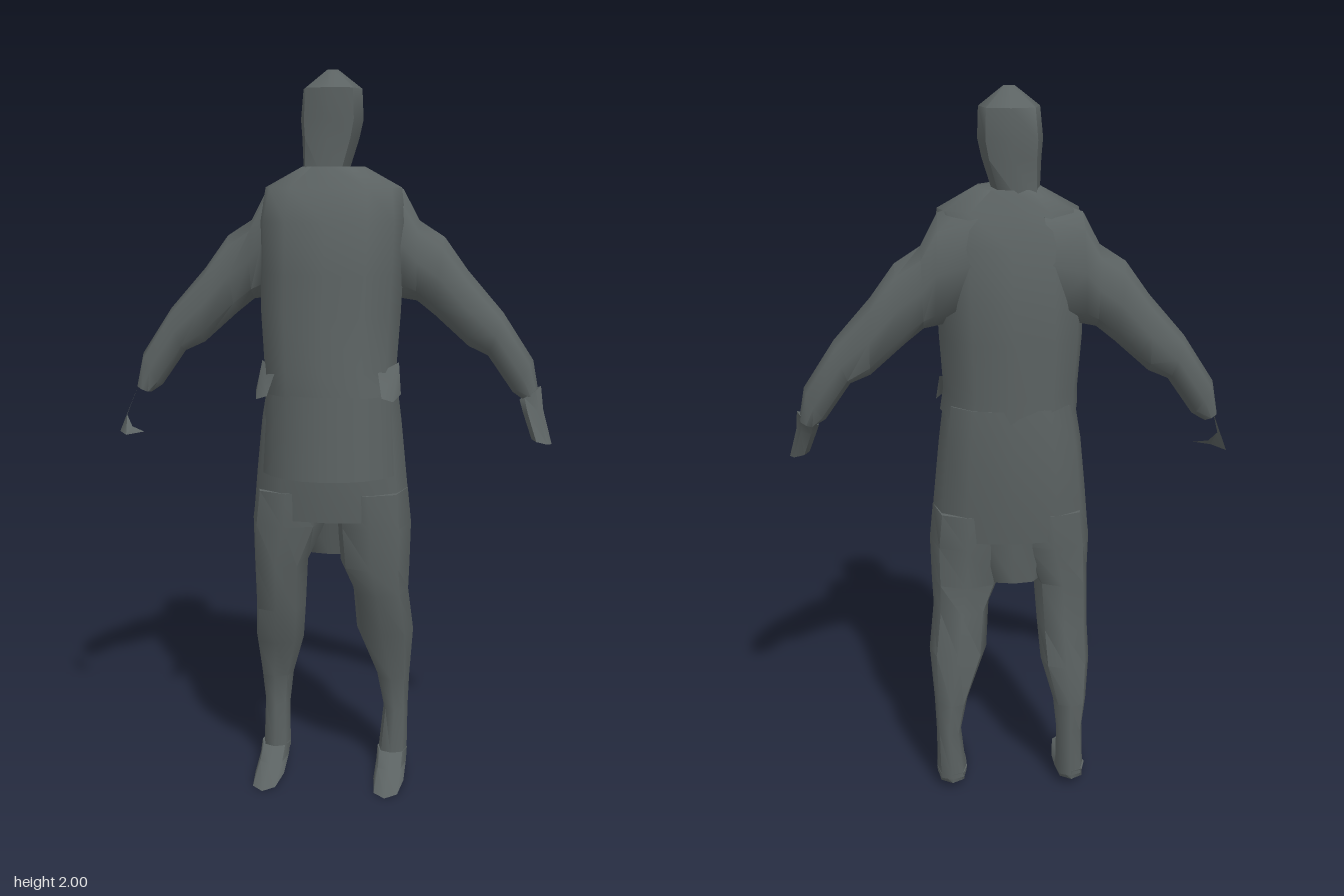
import * as THREE from 'three';
import { toCreasedNormals } from 'three/addons/utils/BufferGeometryUtils.js';

const cloth = new THREE.MeshStandardMaterial({ color: 0x5c6363, side: THREE.DoubleSide });
cloth.name = 'dark grey';

// Loft through rings. Each section: [ax, ay, bx, by, zFront, zBack],
// where a and b are the two ends of the ring in the xy plane.
function loft(sections, sides = 8, power = 0.9) {
  const pos = [], index = [];
  const soft = (t) => Math.sign(t) * Math.abs(t) ** power;
  const n = sections.length;
  for (const [ax, ay, bx, by, zf, zb] of sections) {
    for (let j = 0; j < sides; j++) {
      const t = (j / sides) * Math.PI * 2;
      const c = soft(Math.cos(t)), s = soft(Math.sin(t));
      pos.push((ax + bx) / 2 + c * (ax - bx) / 2, (ay + by) / 2 + c * (ay - by) / 2,
        (zf + zb) / 2 + s * (zf - zb) / 2);
    }
  }
  for (let i = 0; i < n - 1; i++) {
    for (let j = 0; j < sides; j++) {
      const k = (j + 1) % sides, a = i * sides, b = a + sides;
      index.push(a + j, a + k, b + j, a + k, b + k, b + j);
    }
  }
  // end caps
  const last = (n - 1) * sides;
  for (let j = 1; j < sides - 1; j++) {
    index.push(0, j + 1, j, last, last + j, last + j + 1);
  }
  return finish(pos, index);
}

function finish(pos, index) {
  const g = new THREE.BufferGeometry();
  g.setAttribute('position', new THREE.Float32BufferAttribute(pos, 3));
  g.setIndex(index);
  return toCreasedNormals(g, 0.95);
}

// Level ring: [y, xRight, xLeft, zFront, zBack]
const level = ([y, x0, x1, zf, zb]) => [x1, y, x0, y, zf, zb];

export function createModel() {
  const group = new THREE.Group();
  const add = (name, geometry) => {
    const mesh = new THREE.Mesh(geometry, cloth);
    mesh.name = name;
    group.add(mesh);
  };

  add('head', loft([
    [2.0, -0.015, 0.015, -0.01, -0.03],
    [1.95, -0.08, 0.08, 0.068, -0.115],
    [1.87, -0.088, 0.083, 0.062, -0.118],
    [1.82, -0.084, 0.072, 0.058, -0.11],
    [1.72, -0.08, 0.04, 0.06, -0.11],
  ].map(level), 8, 0.7));

  add('jacket', loft([
    [1.745, -0.085, 0.09, 0.07, -0.11],
    [1.69, -0.185, 0.19, 0.1, -0.132],
    [1.6, -0.2, 0.2, 0.14, -0.162],
    [1.46, -0.2, 0.195, 0.148, -0.178],
    [1.35, -0.2, 0.19, 0.155, -0.176],
    [1.2, -0.19, 0.18, 0.165, -0.17],
    [1.135, -0.19, 0.19, 0.168, -0.168],
  ].map(level), 12, 0.85));

  add('hips', loft([
    [1.17, -0.18, 0.18, 0.14, -0.168],
    [1.05, -0.2, 0.195, 0.14, -0.168],
    [0.9, -0.215, 0.21, 0.13, -0.155],
    [0.78, -0.225, 0.222, 0.115, -0.138],
  ].map(level), 12, 0.8));

  add('seat', loft([
    [0.82, -0.12, 0.12, 0.02, -0.13],
    [0.65, -0.08, 0.06, -0.03, -0.11],
  ].map(level), 8, 0.8));

  // front panel hanging below the jacket
  const apron = new THREE.CylinderGeometry(0.19, 0.2, 0.23, 8, 1, true, -1.15, 2.3);
  apron.scale(1, 1, 0.92);
  apron.translate(0, 1.025, 0);
  add('apron', apron);

  // legs differ slightly at the knees
  const legs = {
    right: [
      [0.86, -0.215, -0.01, 0.12, -0.14], [0.76, -0.228, -0.015, 0.112, -0.135],
      [0.64, -0.225, -0.07, 0.1, -0.12], [0.5, -0.225, -0.08, 0.065, -0.13],
      [0.39, -0.23, -0.09, 0.025, -0.135], [0.27, -0.22, -0.125, -0.025, -0.14],
      [0.18, -0.21, -0.135, -0.03, -0.132], [0.035, -0.215, -0.135, -0.025, -0.13],
    ],
    left: [
      [0.86, 0.01, 0.215, 0.12, -0.14], [0.76, 0.015, 0.225, 0.112, -0.135],
      [0.64, 0.025, 0.222, 0.1, -0.12], [0.56, 0.06, 0.218, 0.08, -0.128],
      [0.43, 0.068, 0.232, 0.035, -0.135], [0.28, 0.125, 0.22, -0.02, -0.14],
      [0.18, 0.145, 0.216, -0.03, -0.132], [0.035, 0.13, 0.215, -0.025, -0.13],
    ],
  };
  for (const side in legs) add(side + 'Leg', loft(legs[side].map(level), 8, 0.8));

  // flat feet tapering to the toes
  for (const [name, x0, x1] of [['rightFoot', -0.22, -0.135], ['leftFoot', 0.128, 0.216]]) {
    add(name, loft([
      [0.05, x0, x1, -0.022, -0.13],
      [0.022, x0, x1, 0.04, -0.128],
      [0.0, x0, x1, 0.17, -0.08],
    ].map(level), 8, 0.8));
  }

  // arms, from shoulder to wrist: top edge, bottom edge, depth
  const arm = [
    [0.08, 1.72, 0.12, 1.4, 0.03, -0.15],
    [0.19, 1.685, 0.2, 1.385, 0.015, -0.15],
    [0.235, 1.6, 0.23, 1.38, -0.005, -0.14],
    [0.305, 1.555, 0.28, 1.34, -0.015, -0.135],
    [0.37, 1.465, 0.375, 1.255, -0.015, -0.13],
    [0.47, 1.35, 0.43, 1.23, -0.015, -0.115],
    [0.555, 1.22, 0.5, 1.13, -0.02, -0.105],
    [0.572, 1.13, 0.53, 1.11, -0.02, -0.09],
  ];
  const mirror = ([ax, ay, bx, by, zf, zb]) => [-ax, ay, -bx, by, zf, zb];
  add('leftArm', loft(arm));
  add('rightArm', loft(arm.map(mirror).reverse()));

  // left hand is a thin mitten, right hand a folded sliver
  add('leftHand', loft([
    [0.578, 1.15, 0.52, 1.11, -0.02, -0.08],
    [0.585, 1.09, 0.53, 1.08, 0.01, -0.045],
    [0.61, 1.0, 0.555, 1.012, 0.045, -0.01],
  ], 6));
  add('rightHand', finish([
    -0.568, 1.12, -0.03, -0.615, 1.0, -0.01, -0.582, 1.0, 0.045,
    -0.59, 1.05, 0.0, -0.57, 1.02, 0.02, -0.53, 1.01, 0.04,
  ], [0, 1, 3, 1, 2, 3, 3, 2, 4, 2, 5, 4]));

  // loose jacket corners at the waist
  for (const s of [-1, 1]) {
    add(s < 0 ? 'rightJacketCorner' : 'leftJacketCorner', finish([
      s * 0.19, 1.22, 0.03, s * 0.2, 1.14, 0.08, s * 0.185, 1.13, 0.155,
      s * 0.155, 1.14, 0.162, s * 0.14, 1.2, 0.11,
    ], s < 0 ? [0, 1, 2, 0, 2, 3, 0, 3, 4] : [0, 2, 1, 0, 3, 2, 0, 4, 3]));
  }
  return group;
}
